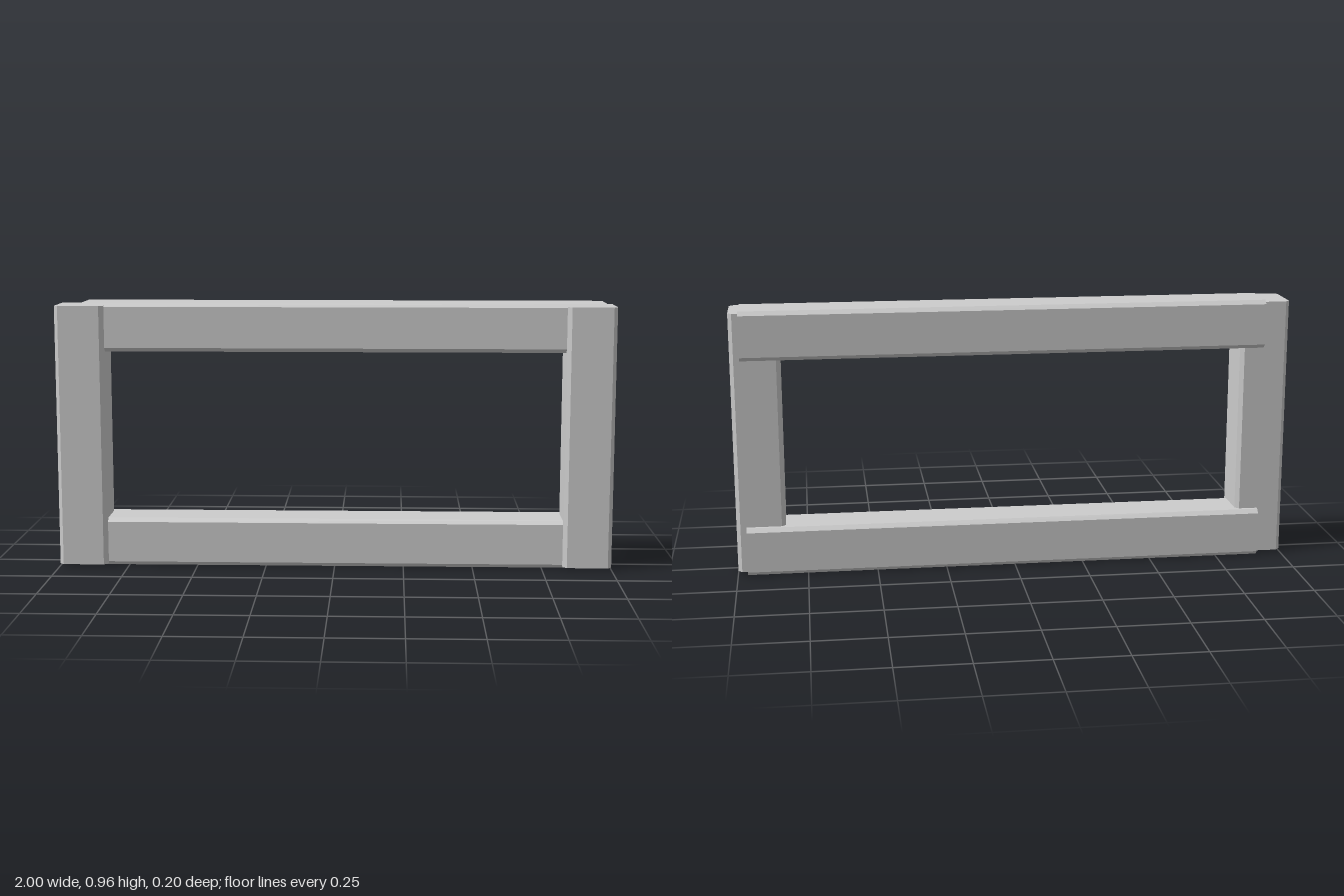
import * as THREE from 'three';

// Square beam with chamfered long edges, running along +z
function beamGeometry(size, length, chamfer) {
  const h = size / 2, c = h - chamfer;
  const section = new THREE.Shape([
    [c, -h], [h, -c], [h, c], [c, h], [-c, h], [-h, c], [-h, -c], [-c, -h],
  ].map(([x, y]) => new THREE.Vector2(x, y)));
  return new THREE.ExtrudeGeometry(section, { depth: length, bevelEnabled: false })
    .translate(0, 0, -length / 2);
}

export function createModel() {
  const group = new THREE.Group();
  group.name = 'frame';
  const grey = new THREE.MeshStandardMaterial({ color: 0xcccccc });
  grey.name = 'grey';

  const size = 0.175, chamfer = 0.014;
  const post = beamGeometry(size, 0.94, chamfer).rotateX(-Math.PI / 2);
  const rail = beamGeometry(size, 1.87, chamfer).rotateY(Math.PI / 2);

  const add = (name, geometry, x, y, z) => {
    const mesh = new THREE.Mesh(geometry, grey);
    mesh.name = name;
    mesh.position.set(x, y, z);
    group.add(mesh);
  };

  // Upright posts, set forward
  add('leftPost', post, 0.9125, 0.48, 0.0135);
  add('rightPost', post, -0.9125, 0.48, 0.0135);

  // Horizontal rails, set back and slightly off centre
  add('bottomRail', rail, 0.03, 0.0895, -0.0125);
  add('topRail', rail, 0.03, 0.8725, -0.0125);

  return group;
}
